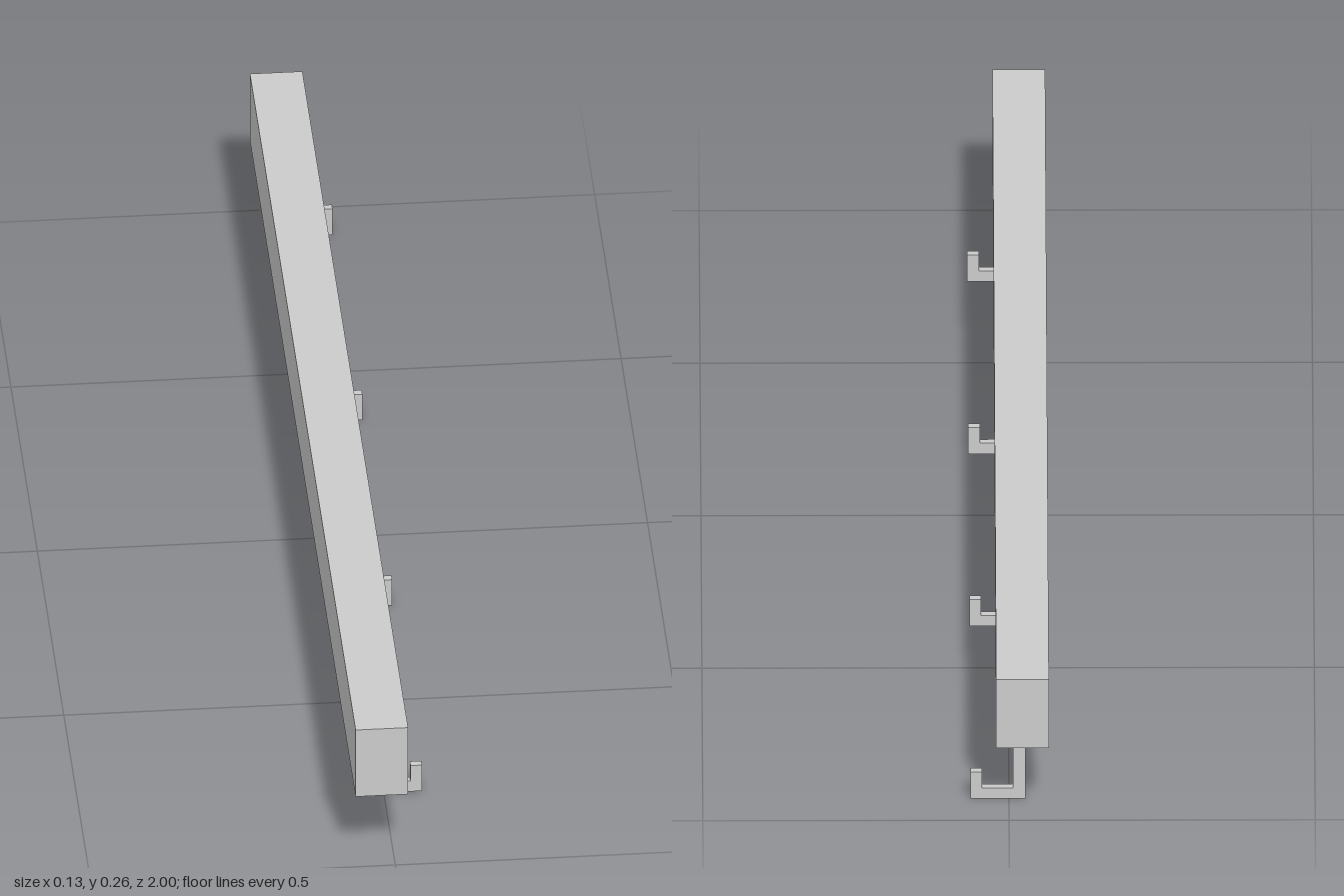
import * as THREE from 'three';

export function createModel() {
  const model = new THREE.Group();
  const material = new THREE.MeshStandardMaterial({ color: 0xcccccc, flatShading: true });

  // Long rail
  const rail = new THREE.Mesh(new THREE.BoxGeometry(0.086, 0.129, 2), material);
  rail.name = 'rail';
  rail.position.set(-0.022, 0.2005, 0);
  model.add(rail);

  // J-shaped hook profile, extruded along z
  const profile = new THREE.Shape([
    [-0.027, 0], [0.063, 0], [0.063, 0.05], [0.044, 0.05],
    [0.044, 0.02], [-0.007, 0.02], [-0.007, 0.136], [-0.027, 0.136],
  ].map(([x, y]) => new THREE.Vector2(x, y)));
  const thickness = 0.013;
  const hookGeometry = new THREE.ExtrudeGeometry(profile, { depth: thickness, bevelEnabled: false });
  hookGeometry.translate(0, 0, -thickness / 2);

  // Four evenly spaced hooks, offset towards the back
  for (let i = 0; i < 4; i++) {
    const hook = new THREE.Mesh(hookGeometry, material);
    hook.name = `hook${i + 1}`;
    hook.position.z = 0.773 - i * 0.565;
    model.add(hook);
  }
  return model;
}
